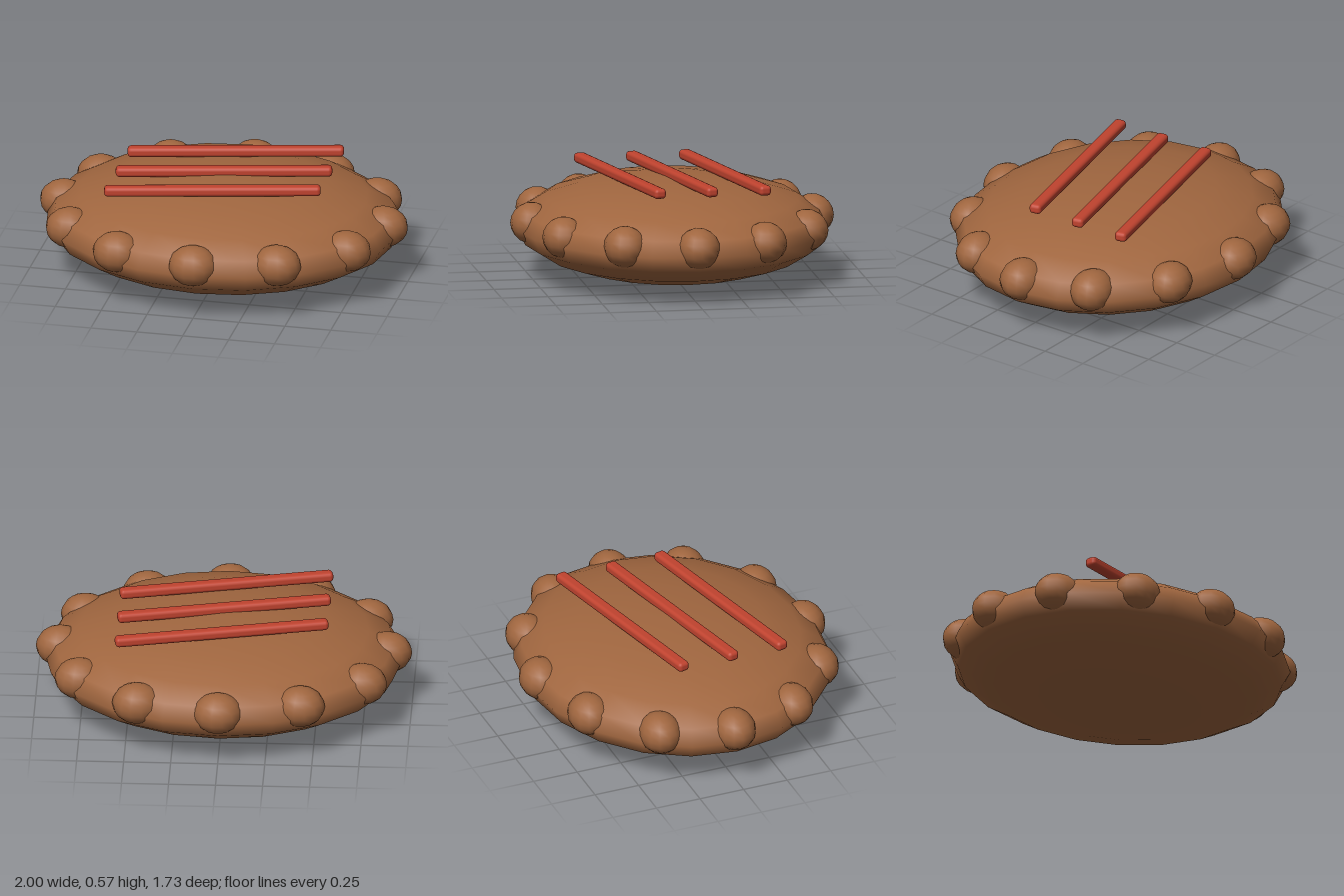
import * as THREE from 'three';
import { RoundedBoxGeometry } from 'three/addons/geometries/RoundedBoxGeometry.js';

export function createModel() {
  const group = new THREE.Group();
  const crust = new THREE.MeshStandardMaterial({ color: 0xa0663f });
  const red = new THREE.MeshStandardMaterial({ color: 0xc0432f });

  const add = (name, geometry, material, x, y, z) => {
    const mesh = new THREE.Mesh(geometry, material);
    mesh.name = name;
    mesh.position.set(x, y, z);
    group.add(mesh);
    return mesh;
  };

  // Flattened oval body
  add('body', new THREE.SphereGeometry(1, 20, 10), crust, 0, 0.275, 0).scale.set(0.955, 0.268, 0.83);

  // Ring of crimped knobs around the rim
  const knob = new THREE.SphereGeometry(1, 14, 10);
  for (let i = 0; i < 12; i++) {
    const a = (i / 12) * Math.PI * 2;
    add('rimKnob', knob, crust, Math.cos(a) * 0.868, 0.312, Math.sin(a) * 0.755)
      .scale.set(0.132, 0.11, 0.114);
  }

  // Three slanted strips on top
  const strip = new RoundedBoxGeometry(1.15, 0.054, 0.066, 2, 0.02);
  for (const z of [-0.285, 0, 0.28]) {
    add('topStrip', strip, red, 0, 0.552, z).rotation.y = 0.227;
  }

  return group;
}
